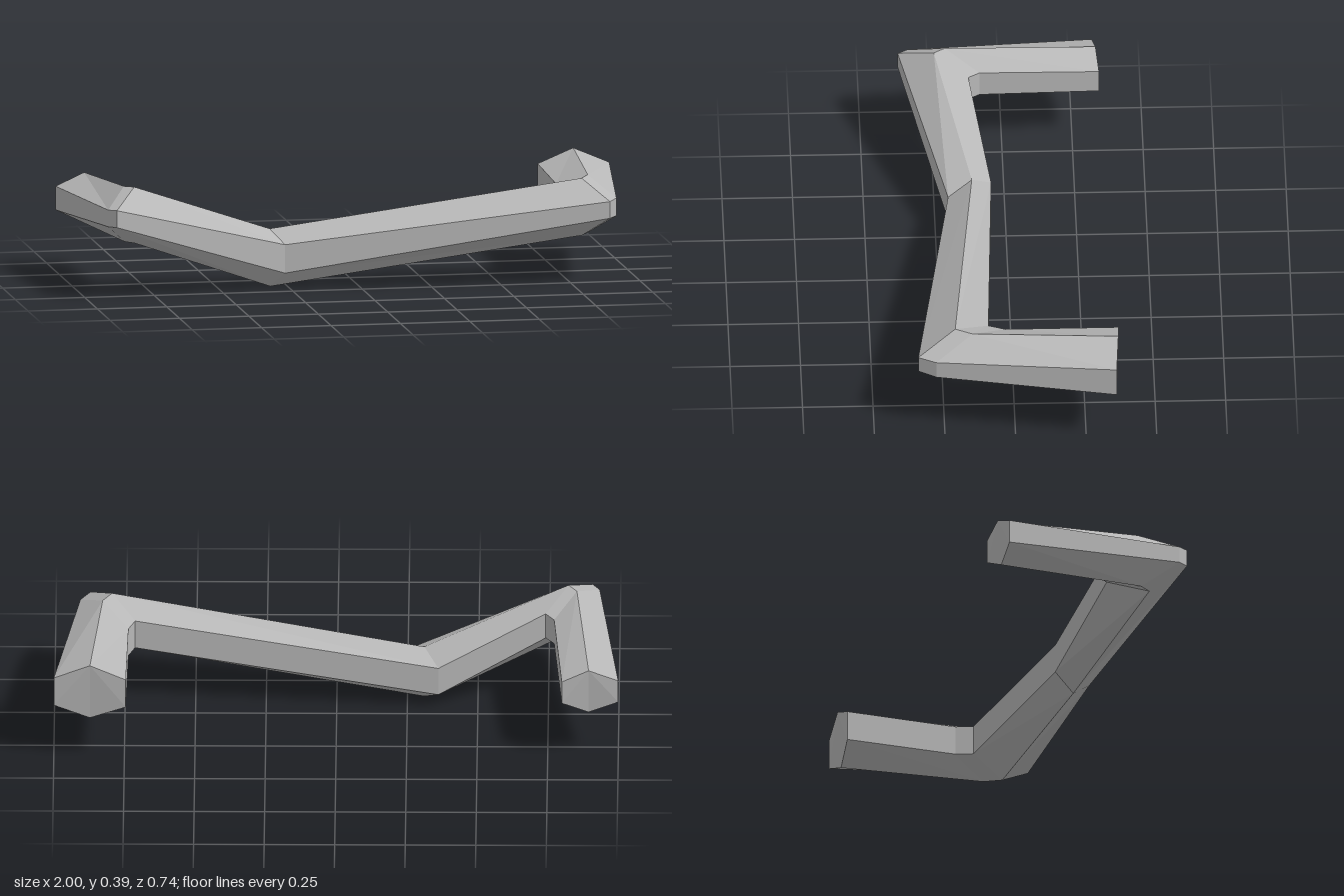
import * as THREE from 'three';

// Hexagonal sections along the bar, from the -x end to the +x end:
// plan [x, z] of the inner, ridge and outer lines, then heights of
// [top, outer upper, outer lower, bottom, inner lower, inner upper]
const SECTIONS = [
  { inner: [-0.80, -0.345], ridge: [-0.895, -0.335], outer: [-1.0, -0.325], y: [0.35, 0.305, 0.22, 0.178, 0.225, 0.31] },
  { inner: [-0.77, 0.08], ridge: [-0.85, 0.20], outer: [-0.93, 0.33], y: [0.387, 0.325, 0.265, 0.19, 0.24, 0.335] },
  { inner: [-0.74, 0.12], ridge: [-0.82, 0.24], outer: [-0.905, 0.366], y: [0.39, 0.328, 0.267, 0.19, 0.242, 0.338] },
  { inner: [-0.36, 0.05], ridge: [-0.31, 0.12], outer: [-0.27, 0.205], y: [0.205, 0.16, 0.058, 0.0, 0.05, 0.155] },
  { inner: [0.715, 0.09], ridge: [0.797, 0.21], outer: [0.875, 0.343], y: [0.368, 0.303, 0.243, 0.165, 0.213, 0.32] },
  { inner: [0.738, 0.03], ridge: [0.83, 0.15], outer: [0.91, 0.28], y: [0.37, 0.305, 0.241, 0.165, 0.213, 0.32] },
  { inner: [0.745, -0.37], ridge: [0.872, -0.366], outer: [1.0, -0.357], y: [0.38, 0.326, 0.217, 0.165, 0.217, 0.326] },
];
const UNDERSIDE_SHIFT = 0.013; // the underside sits slightly forward of the ridge

// Corner points of one section, in order around the bar
function ring({ inner, ridge, outer, y }) {
  const plan = [ridge, outer, outer, [ridge[0], ridge[1] + UNDERSIDE_SHIFT], inner, inner];
  return plan.map(([x, z], i) => [x, y[i], z]);
}

// Skin the rings with quads and close both ends
function loft(rings) {
  const n = rings[0].length;
  const index = [];
  for (let i = 0; i < rings.length - 1; i++) {
    for (let j = 0; j < n; j++) {
      const a = i * n + j, b = i * n + (j + 1) % n;
      index.push(a, b, b + n, a, b + n, a + n);
    }
  }
  const last = (rings.length - 1) * n;
  for (let j = 1; j < n - 1; j++) {
    index.push(0, j + 1, j);
    index.push(last, last + j, last + j + 1);
  }
  const geometry = new THREE.BufferGeometry();
  geometry.setAttribute('position', new THREE.Float32BufferAttribute(rings.flat(2), 3));
  geometry.setIndex(index);
  const flat = geometry.toNonIndexed();
  flat.computeVertexNormals();
  return flat;
}

export function createModel() {
  const grey = new THREE.MeshStandardMaterial({ color: 0xb8b8b8, flatShading: true });
  grey.name = 'grey';

  const bar = new THREE.Mesh(loft(SECTIONS.map(ring)), grey);
  bar.name = 'bentBar';

  const model = new THREE.Group();
  model.name = 'bentHexagonalBar';
  model.add(bar);
  return model;
}
